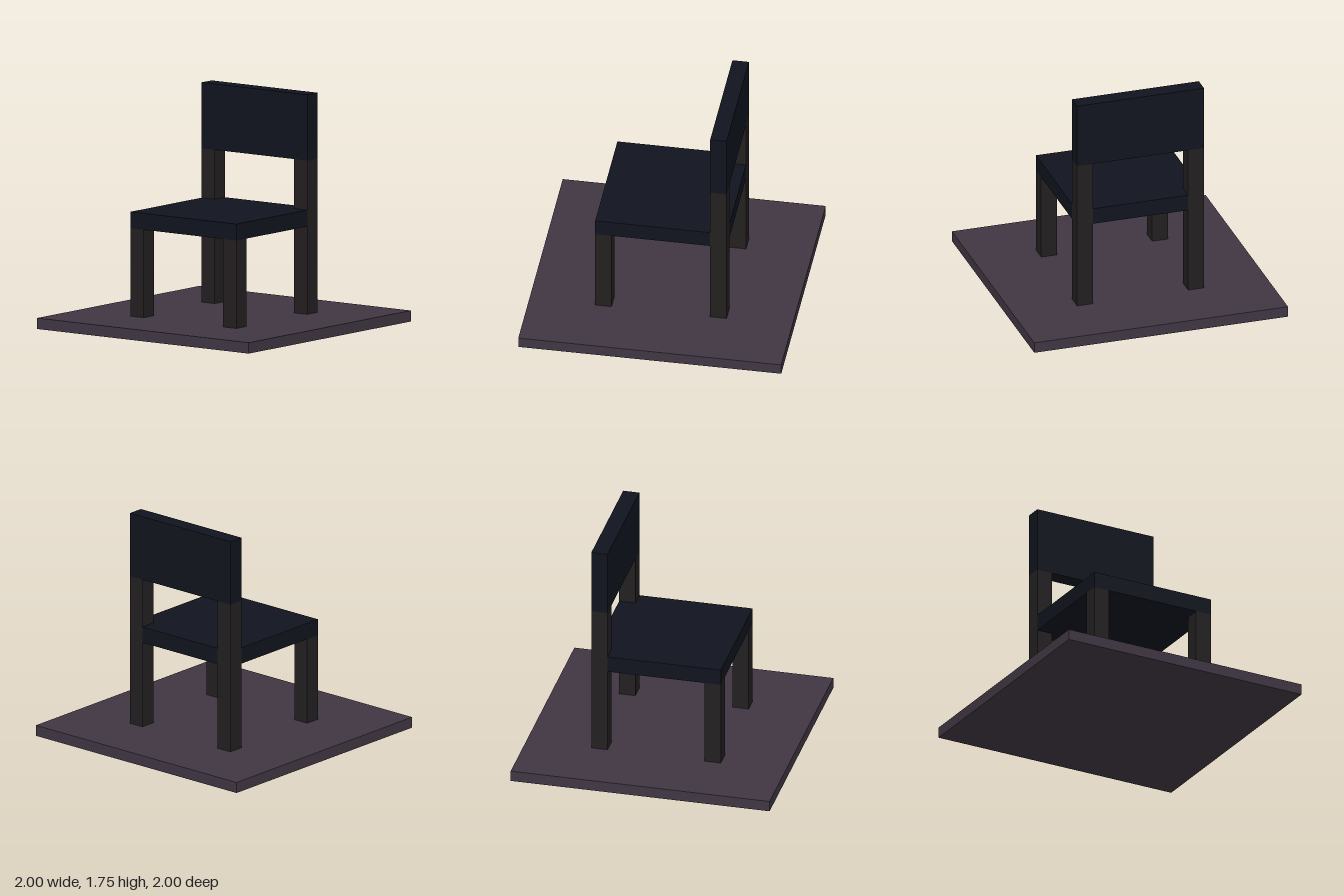
import * as THREE from 'three';

export function createModel() {
  const model = new THREE.Group();
  const material = (color) => new THREE.MeshStandardMaterial({ color, flatShading: true });
  const floorMat = material(0x3f3642);
  const woodMat = material(0x231f20);
  const padMat = material(0x11141e);

  // Box given by its minimum and maximum corners
  function box(name, mat, [x0, y0, z0], [x1, y1, z1]) {
    const mesh = new THREE.Mesh(new THREE.BoxGeometry(x1 - x0, y1 - y0, z1 - z0), mat);
    mesh.position.set((x0 + x1) / 2, (y0 + y1) / 2, (z0 + z1) / 2);
    mesh.name = name;
    model.add(mesh);
  }

  const floorTop = 0.083, seatBottom = 0.75, seatTop = 0.875;
  const backBottom = 1.25, backTop = 1.75;
  const outer = 0.5, inner = 0.375;

  // Floor slab
  box('floor', floorMat, [-1, 0, -1], [1, floorTop, 1]);

  // Short legs under the seat, tall posts carrying the backrest
  for (const [side, z0, z1] of [['Left', -outer, -inner], ['Right', inner, outer]]) {
    box('frontLeg' + side, woodMat, [-outer, floorTop, z0], [-inner, seatBottom, z1]);
    box('backPost' + side, woodMat, [inner, floorTop, z0], [outer, backBottom, z1]);
  }

  // Seat, with a tongue filling the gap between the posts
  box('seat', padMat, [-outer, seatBottom, -outer], [inner, seatTop, outer]);
  box('seatRear', padMat, [inner, seatBottom, -inner], [outer, seatTop, inner]);

  // Backrest
  box('backrest', padMat, [inner, backBottom, -outer], [outer, backTop, outer]);

  return model;
}
